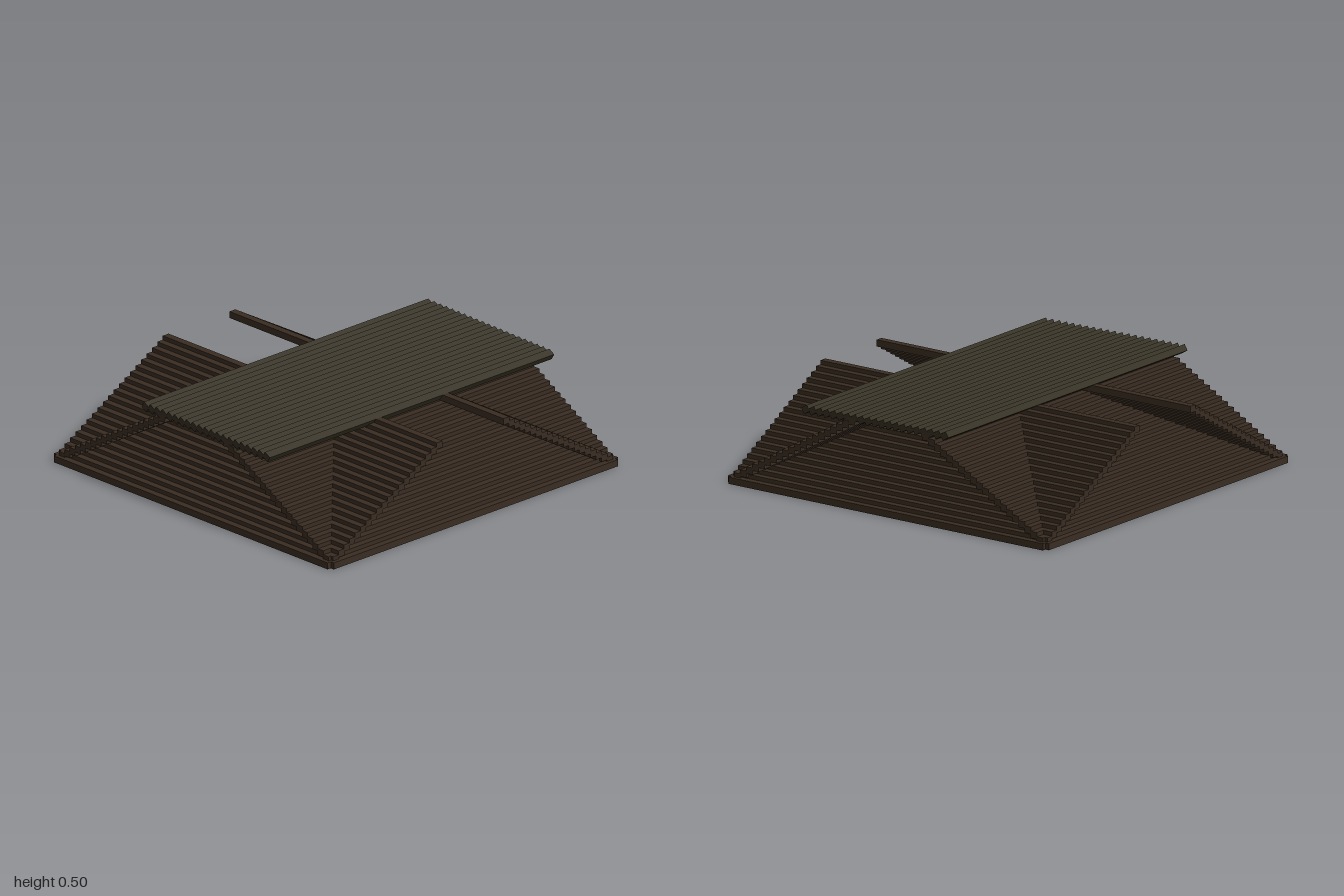
import * as THREE from 'three';

const BOARDS = 21;             // boards in each stepped slope
const RUN = 0.0375, RISE = 0.0215;
const W = 0.04, H = 0.035, LENGTH = 1.957;

// One stepped slope: long boards along z, climbing toward -x from a low outer edge at x = 1
function makeSlope(name, material) {
  const slope = new THREE.Group();
  slope.name = name;
  const geometry = new THREE.BoxGeometry(W, H, LENGTH);
  for (let i = 0; i < BOARDS; i++) {
    const board = new THREE.Mesh(geometry, material);
    board.name = 'board';
    board.position.set(1 - W / 2 - i * RUN, H / 2 + i * RISE, 0);
    slope.add(board);
  }
  return slope;
}

export function createModel() {
  const model = new THREE.Group();
  model.name = 'steppedRoof';
  const brown = new THREE.MeshStandardMaterial({ color: 0x3a2d22 });
  brown.name = 'dark brown wood';
  const olive = new THREE.MeshStandardMaterial({ color: 0x342e20 });
  olive.name = 'dark olive wood';

  // Four crossing slopes, one per side
  ['rightSlope', 'backSlope', 'leftSlope', 'frontSlope'].forEach((name, i) => {
    const slope = makeSlope(name, brown);
    slope.rotation.y = i * Math.PI / 2;
    model.add(slope);
  });

  // Top panel: a left-hand slope tipped until it lies nearly flat
  const mid = (BOARDS - 1) / 2;
  const stairs = makeSlope('topBoards', olive);
  stairs.rotation.y = Math.PI;
  stairs.position.set(1 - W / 2 - mid * RUN, -(H / 2 + mid * RISE), 0);
  const panel = new THREE.Group();
  panel.name = 'topPanel';
  panel.add(stairs);
  panel.rotation.z = -Math.atan2(RISE, RUN) - 0.0175;
  panel.position.set(0.085, 0.467, 0);
  model.add(panel);

  return model;
}
